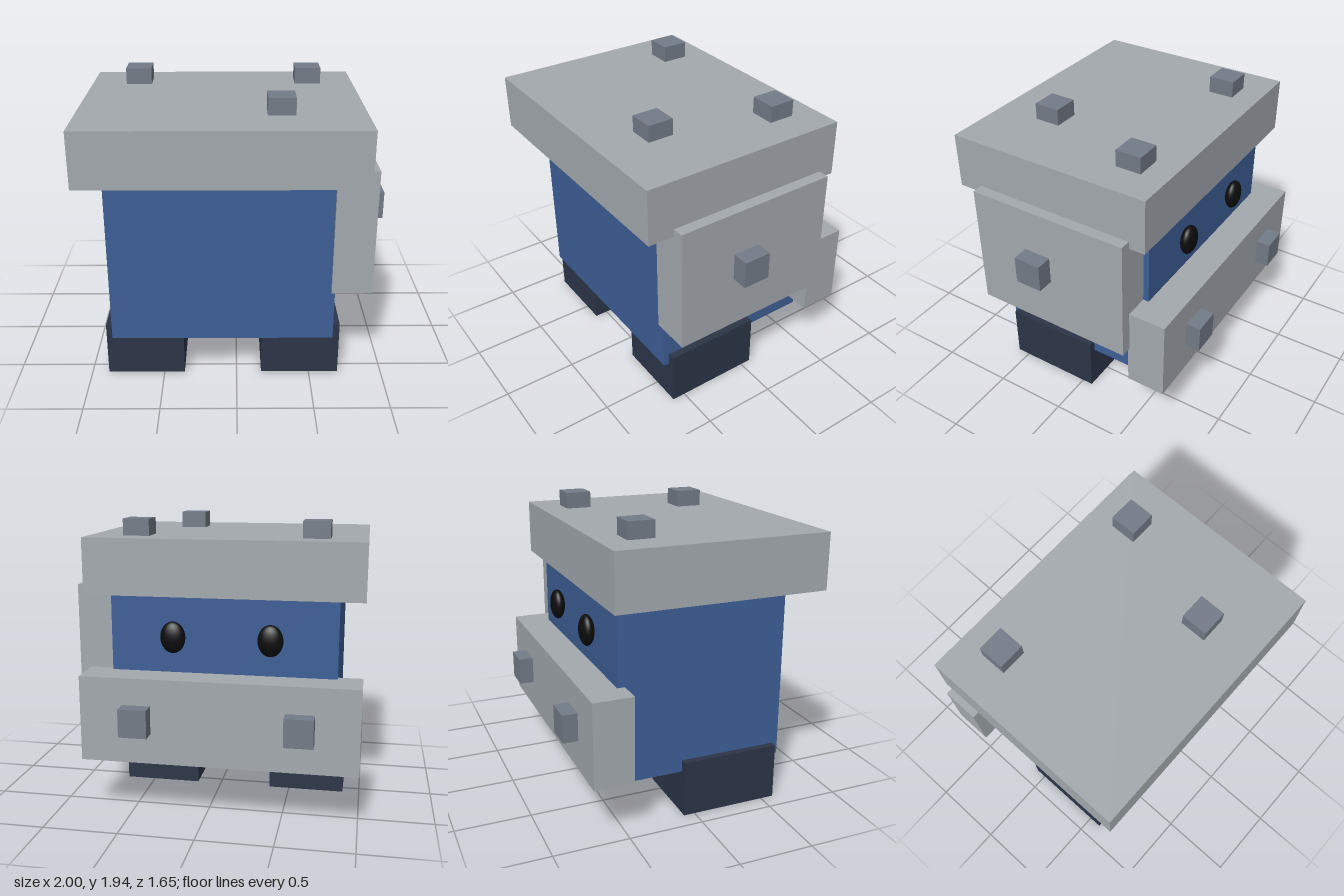
import * as THREE from 'three';

const paint = (color) => new THREE.MeshStandardMaterial({ color });

export function createModel() {
  const model = new THREE.Group();
  const blue = paint(0x3d5f96), navy = paint(0x2c3548), plate = paint(0xa3a9ae);
  const steel = paint(0x737b87), black = paint(0x0c0c0e);

  // Box given by its extents along each axis
  function box(name, material, [x0, x1], [y0, y1], [z0, z1]) {
    const mesh = new THREE.Mesh(new THREE.BoxGeometry(x1 - x0, y1 - y0, z1 - z0), material);
    mesh.position.set((x0 + x1) / 2, (y0 + y1) / 2, (z0 + z1) / 2);
    mesh.name = name;
    model.add(mesh);
  }
  const around = (c, size) => [c - size / 2, c + size / 2];

  // Body and feet
  box('body', blue, [-0.84, 0.65], [0.3, 1.5], [-0.515, 0.63]);
  box('rightFoot', navy, [-0.885, -0.36], [0, 0.38], [-0.075, 0.59]);
  box('leftFoot', navy, [0.17, 0.7], [0, 0.38], [-0.075, 0.59]);

  // Armour plates
  box('topPlate', plate, [-1, 0.815], [1.46, 1.83], [-0.585, 0.825]);
  box('sidePlate', plate, [0.625, 0.89], [0.655, 1.51], [-0.475, 0.65]);
  box('facePlate', plate, [-1, 0.815], [0.38, 0.95], [-0.73, -0.465]);

  // Bolts on the plates
  for (const [x, z] of [[-0.675, -0.325], [0.5, -0.325], [0.28, 0.435]])
    box('topBolt', steel, around(x, 0.175), [1.8, 1.94], around(z, 0.175));
  for (const x of [-0.622, 0.436])
    box('faceBolt', steel, around(x, 0.187), around(0.677, 0.187), [-0.83, -0.7]);
  box('sideBolt', steel, [0.86, 1], around(1.115, 0.187), around(0.165, 0.187));

  // Eyes: flattened ellipsoids above the face plate
  for (const x of [-0.41, 0.226]) {
    const eye = new THREE.Mesh(new THREE.SphereGeometry(1, 32, 16), black);
    eye.scale.set(0.083, 0.104, 0.048);
    eye.position.set(x, 1.194, -0.561);
    eye.name = 'eye';
    model.add(eye);
  }
  return model;
}
